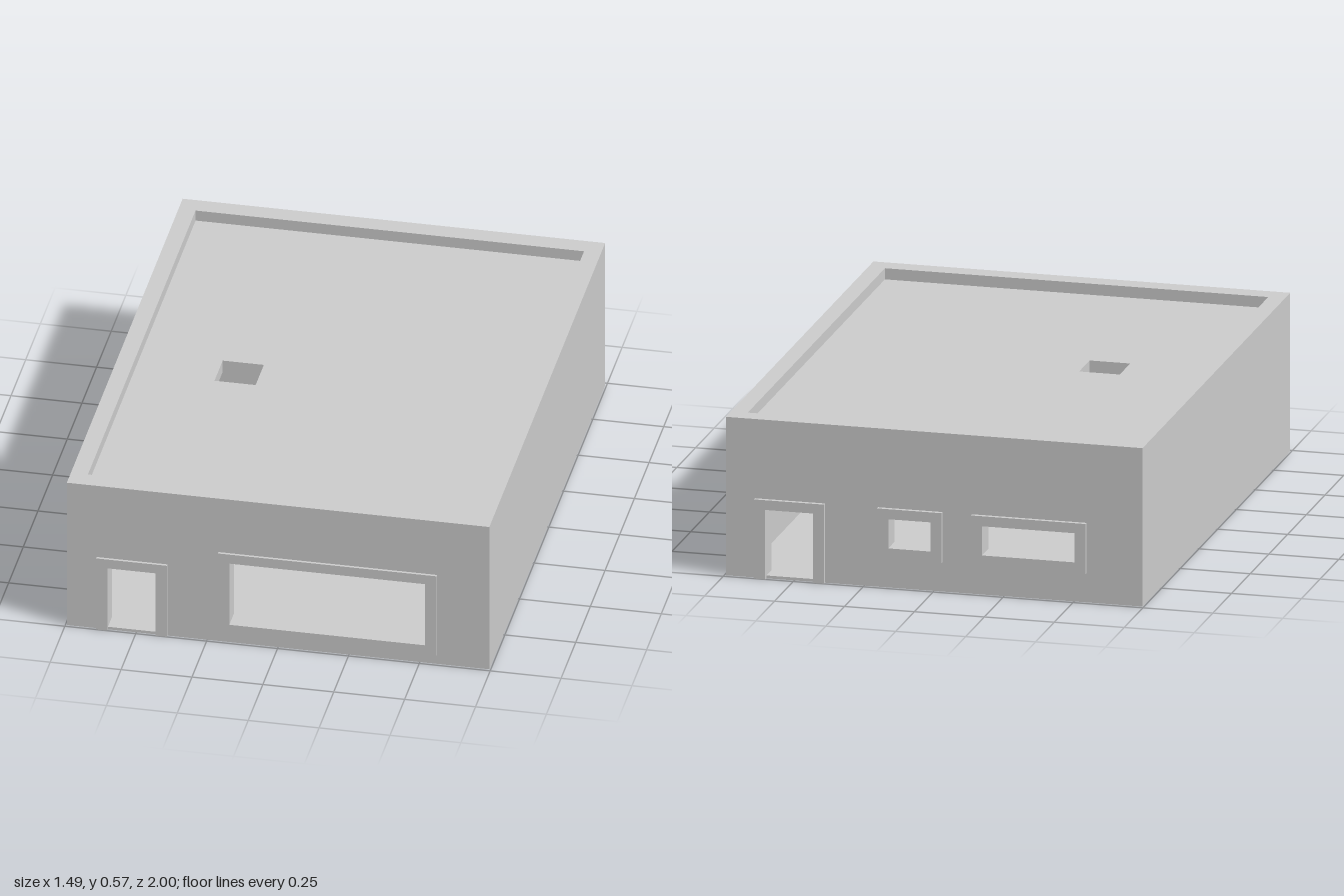
import * as THREE from 'three';

const material = new THREE.MeshStandardMaterial({ color: 0xcccccc, flatShading: true });

const W = 0.745, H = 0.57, FRONT = 0.99, BACK = -0.985; // outer shell
const T = 0.07, SIDE = 0.06;                            // wall thicknesses
const FLOOR = 0.01, CEILING = 0.485, ROOF = 0.53;
const BORDER = 0.04;                                    // trim width

// Openings as [name, x0, x1, y0, y1]; doors start at the floor
const frontOpenings = [
  ['frontDoor', -0.6, -0.43, FLOOR, 0.25],
  ['frontWindow', -0.17, 0.52, 0.075, 0.32],
];
const backOpenings = [
  ['backDoor', 0.43, 0.6, FLOOR, 0.25],
  ['smallBackWindow', 0.01, 0.16, 0.145, 0.25],
  ['wideBackWindow', -0.505, -0.175, 0.145, 0.25],
];

function rect(Type, x0, x1, y0, y1) {
  const p = new Type();
  p.moveTo(x0, y0);
  p.lineTo(x1, y0);
  p.lineTo(x1, y1);
  p.lineTo(x0, y1);
  p.closePath();
  return p;
}

function add(group, name, geometry) {
  const mesh = new THREE.Mesh(geometry, material);
  mesh.name = name;
  group.add(mesh);
  return mesh;
}

function box(group, name, x0, x1, y0, y1, z0, z1) {
  const g = new THREE.BoxGeometry(x1 - x0, y1 - y0, z1 - z0);
  g.translate((x0 + x1) / 2, (y0 + y1) / 2, (z0 + z1) / 2);
  return add(group, name, g);
}

function slab(group, name, shape, z0, z1) {
  const g = new THREE.ExtrudeGeometry(shape, { depth: z1 - z0, bevelEnabled: false });
  g.translate(0, 0, z0);
  return add(group, name, g);
}

// Wall with cut openings, each edged by a raised frame
function piercedWall(group, name, openings, z0, z1, trim0, trim1) {
  const wall = rect(THREE.Shape, -W, W, 0, H);
  for (const [label, x0, x1, y0, y1] of openings) {
    wall.holes.push(rect(THREE.Path, x0, x1, y0, y1));
    let frame;
    if (y0 === FLOOR) {
      // Door frame is open at the bottom
      frame = new THREE.Shape([
        [x0 - BORDER, 0], [x0, 0], [x0, y1], [x1, y1], [x1, 0],
        [x1 + BORDER, 0], [x1 + BORDER, y1 + 0.035], [x0 - BORDER, y1 + 0.035],
      ].map(([x, y]) => new THREE.Vector2(x, y)));
    } else {
      frame = rect(THREE.Shape, x0 - BORDER, x1 + BORDER, y0 - BORDER, y1 + 0.036);
      frame.holes.push(rect(THREE.Path, x0, x1, y0, y1));
    }
    slab(group, label + 'Frame', frame, trim0, trim1);
  }
  slab(group, name, wall, z0, z1);
}

export function createModel() {
  const model = new THREE.Group();
  model.name = 'flatRoofBuilding';

  // Outer walls, rising above the roof as a parapet
  piercedWall(model, 'frontWall', frontOpenings, FRONT - T, FRONT, FRONT, 1);
  piercedWall(model, 'backWall', backOpenings, BACK, BACK + T, -1, BACK);
  const z0 = BACK + T, z1 = FRONT - T, xi = W - SIDE;
  box(model, 'leftWall', xi, W, 0, H, z0, z1);
  box(model, 'rightWall', -W, -xi, 0, H, z0, z1);

  // Floor and inner partition, open at its left end
  box(model, 'floor', -xi, xi, 0, FLOOR, z0, z1);
  box(model, 'partition', -xi, 0.29, FLOOR, CEILING, -0.06, 0);

  // Roof slab with a square hatch; shape y becomes -z
  const roof = rect(THREE.Shape, -xi, xi, -z1, -z0);
  roof.holes.push(rect(THREE.Path, -0.4, -0.255, -0.14, 0));
  slab(model, 'roof', roof, CEILING, ROOF).geometry.rotateX(-Math.PI / 2);

  return model;
}
